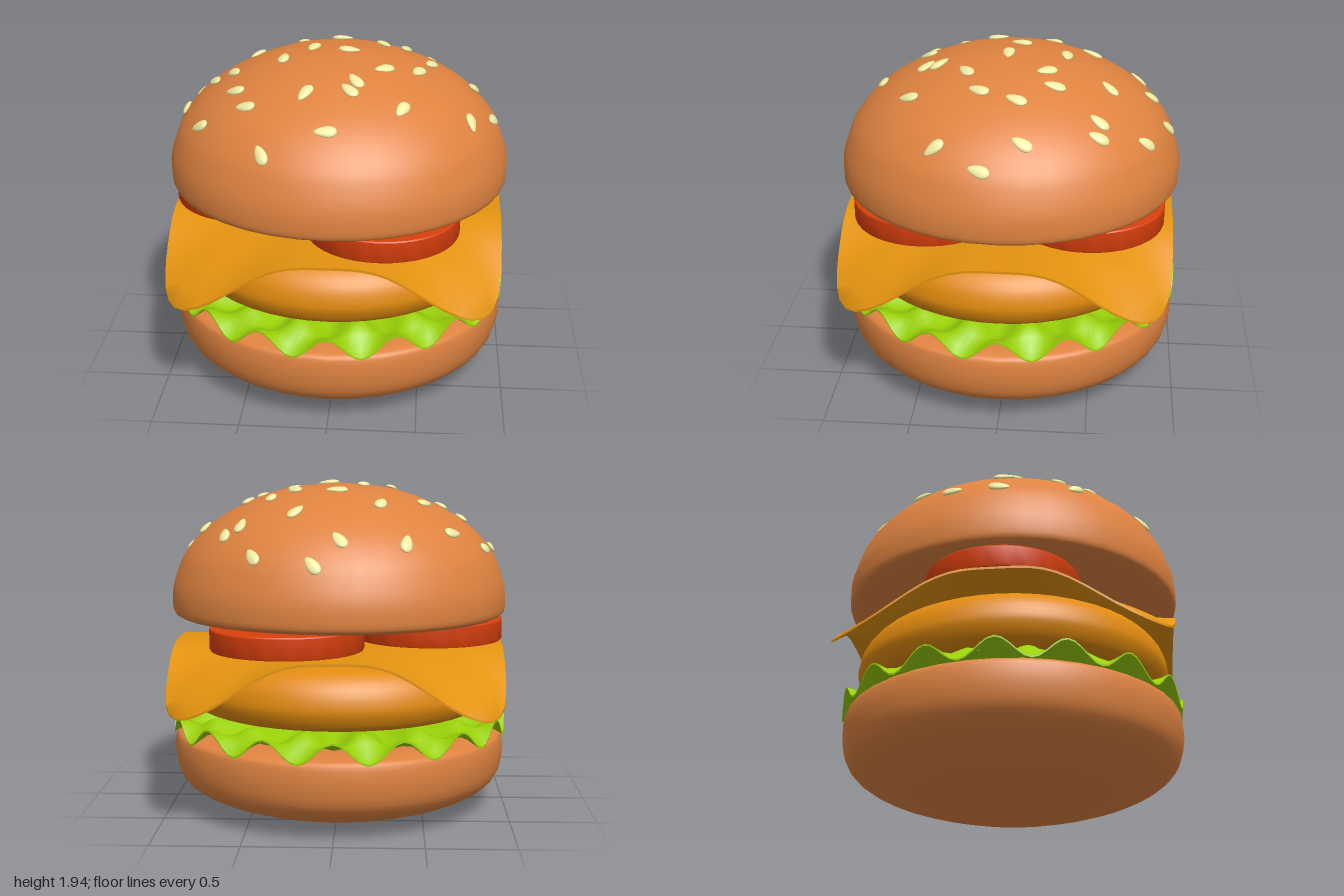
import * as THREE from 'three';
import { mergeVertices, toCreasedNormals } from 'three/addons/utils/BufferGeometryUtils.js';

const { smoothstep, lerp, degToRad } = THREE.MathUtils;
const material = (color) => new THREE.MeshStandardMaterial({ color });
const bunMat = material(0xdf8340);
const pattyMat = material(0xe08a0e);
const cheeseMat = material(0xe3930f);
const lettuceMat = material(0x9ad008);
const tomatoMat = material(0xdb400c);
const seedMat = material(0xf0eba2);

function part(name, geometry, mat) {
  const mesh = new THREE.Mesh(geometry, mat);
  mesh.name = name;
  return mesh;
}

// Smooth curve through a few [radius, height] points
function profile(points, divisions) {
  const curve = new THREE.SplineCurve(points.map(([r, y]) => new THREE.Vector2(r, y)));
  const out = curve.getPoints(divisions);
  out.forEach((p) => { p.x = Math.max(0, p.x); });
  return out;
}

// Thin closed sheet on a polar grid: surface(t, angle) returns [radius, height]
function polarSheet(surface, thickness, segments, rings) {
  const rows = 2 * rings + 1;
  const geo = new THREE.PlaneGeometry(1, 1, segments, rows);
  const pos = geo.attributes.position;
  for (let j = 0; j <= rows; j++) {
    const top = j <= rings;
    const t = (top ? j : rows - j) / rings;
    for (let i = 0; i <= segments; i++) {
      const a = ((i % segments) / segments) * Math.PI * 2;
      const [r, y] = surface(t, a);
      pos.setXYZ(j * (segments + 1) + i, r * Math.sin(a), top ? y : y - thickness, r * Math.cos(a));
    }
  }
  geo.deleteAttribute('normal');
  geo.deleteAttribute('uv');
  return toCreasedNormals(mergeVertices(geo), 0.9);
}

// Teardrop seed lying along x, flattened in y
function seedGeometry() {
  const geo = new THREE.SphereGeometry(1, 14, 10);
  geo.rotateZ(-Math.PI / 2);
  const pos = geo.attributes.position;
  for (let i = 0; i < pos.count; i++) {
    const x = pos.getX(i);
    const taper = 1 - 0.3 * x;
    pos.setXYZ(i, x * 0.062, pos.getY(i) * 0.016 * taper, pos.getZ(i) * 0.034 * taper);
  }
  geo.computeVertexNormals();
  return geo;
}

// Seeds on the crown: x, z, heading in degrees
const SEEDS = [
  [0.11, -0.91, 40], [-0.03, -0.81, 50], [-0.39, -0.74, 100], [0.44, -0.78, 60], [0.22, -0.57, 130],
  [0.53, -0.52, 105], [0.62, -0.52, 85], [-0.65, -0.46, 130], [-0.25, -0.46, 105], [0, -0.32, 0],
  [0.25, -0.22, 60], [0.38, -0.27, 95], [-0.85, -0.26, 110], [-0.5, -0.22, 120], [-0.15, -0.05, 105],
  [0.06, 0.01, 0], [0.53, -0.07, 110], [0.78, -0.12, 110], [-0.9, 0.01, 95], [-0.72, 0.02, 70],
  [-0.6, 0.06, 65], [-0.31, 0.1, 270], [0.46, 0.14, 115], [0.27, 0.23, 145], [0.89, 0.1, 105],
  [-0.56, 0.32, 210], [-0.75, 0.43, 215], [-0.48, 0.5, 205], [-0.15, 0.5, 120], [0.12, 0.4, 235],
  [0.09, 0.48, 225], [0.38, 0.54, 115], [0.76, 0.35, 75], [-0.02, 0.75, 180], [-0.36, 0.8, 240],
];

function addSeeds(group, dome) {
  const geo = seedGeometry();
  const seeds = new THREE.Group();
  seeds.name = 'sesameSeeds';
  for (const [x, z, heading] of SEEDS) {
    // Height and slope of the dome at this radius
    const r = Math.hypot(x, z);
    const k = Math.max(1, dome.findIndex((p) => p.x <= r));
    const a = dome[k - 1], b = dome[k];
    const y = lerp(a.y, b.y, (a.x - r) / (a.x - b.x));
    const normal = new THREE.Vector3((x / r) * (b.y - a.y), a.x - b.x, (z / r) * (b.y - a.y)).normalize();
    // Lay the long axis along the heading as seen from above
    const h = degToRad(heading);
    const along = new THREE.Vector3(Math.cos(h), 0, Math.sin(h));
    along.y = -(along.x * normal.x + along.z * normal.z) / normal.y;
    along.normalize();
    const side = new THREE.Vector3().crossVectors(along, normal);
    const seed = part('sesameSeed', geo, seedMat);
    seed.quaternion.setFromRotationMatrix(new THREE.Matrix4().makeBasis(along, normal, side));
    seed.position.set(x, y, z).addScaledVector(normal, 0.004);
    seeds.add(seed);
  }
  group.add(seeds);
}

export function createModel() {
  const group = new THREE.Group();
  group.name = 'burger';

  // Bottom bun
  const heel = profile([[0.55, 0], [0.82, 0.09], [0.95, 0.18], [0.99, 0.3], [0.99, 0.41], [0.96, 0.46], [0.82, 0.48]], 18);
  const heelProfile = [new THREE.Vector2(0, 0), ...heel, new THREE.Vector2(0, 0.482)];
  group.add(part('bottomBun', new THREE.LatheGeometry(heelProfile, 40), bunMat));

  // Lettuce: sixteen ripples, the rim out of step with the inner folds
  const lettuce = polarSheet((t, a) => {
    const wave = -0.04 * smoothstep(t, 0.5, 0.82) + 0.1 * smoothstep(t, 0.84, 1);
    return [t, 0.548 - 0.033 * smoothstep(t, 0.84, 1) + wave * Math.cos(16 * a)];
  }, 0.01, 160, 20);
  group.add(part('lettuce', lettuce, lettuceMat));

  // Patty
  const pattySide = profile([[0.83, 0.6], [0.88, 0.625], [0.915, 0.69], [0.92, 0.75], [0.89, 0.84], [0.8, 0.92], [0.6, 0.97]], 18);
  const pattyProfile = [new THREE.Vector2(0, 0.6), ...pattySide, new THREE.Vector2(0, 0.975)];
  group.add(part('patty', new THREE.LatheGeometry(pattyProfile, 48), pattyMat));

  // Cheese: rounded square slice whose corners droop
  const cheese = polarSheet((t, a) => {
    const c = Math.abs(Math.cos(a)), s = Math.abs(Math.sin(a));
    const r = 0.965 / Math.pow(c ** 6 + s ** 6, 1 / 6);
    return [r * t, 0.998 - 0.32 * Math.sin(2 * a) ** 4 * t ** 4];
  }, 0.014, 96, 16);
  group.add(part('cheese', cheese, cheeseMat));

  // Tomato slices: thick rim around a recessed middle
  const slicePoints = [[0, 1.03], [0.36, 1.03], [0.37, 1], [0.435, 1], [0.44, 1.01], [0.44, 1.12], [0.435, 1.127], [0.37, 1.127], [0.36, 1.1], [0, 1.1]];
  const sliceGeo = toCreasedNormals(
    new THREE.LatheGeometry(slicePoints.map(([r, y]) => new THREE.Vector2(r, y)), 40), 0.6);
  for (let i = 0; i < 3; i++) {
    const a = Math.PI + (i * Math.PI * 2) / 3;
    const slice = part('tomatoSlice', sliceGeo, tomatoMat);
    slice.position.set(0.545 * Math.cos(a) + 0.007, 0, 0.535 * Math.sin(a) - 0.008);
    group.add(slice);
  }

  // Top bun with seeds
  const dome = profile([[0.98, 1.165], [0.993, 1.2], [0.99, 1.31], [0.955, 1.43], [0.9, 1.54], [0.78, 1.67], [0.59, 1.79], [0.32, 1.89], [0, 1.925]], 24);
  const base = [[0, 1.13], [0.6, 1.13], [0.85, 1.137], [0.95, 1.15]].map(([r, y]) => new THREE.Vector2(r, y));
  group.add(part('topBun', new THREE.LatheGeometry([...base, ...dome], 40), bunMat));
  addSeeds(group, dome.slice(6));

  return group;
}
